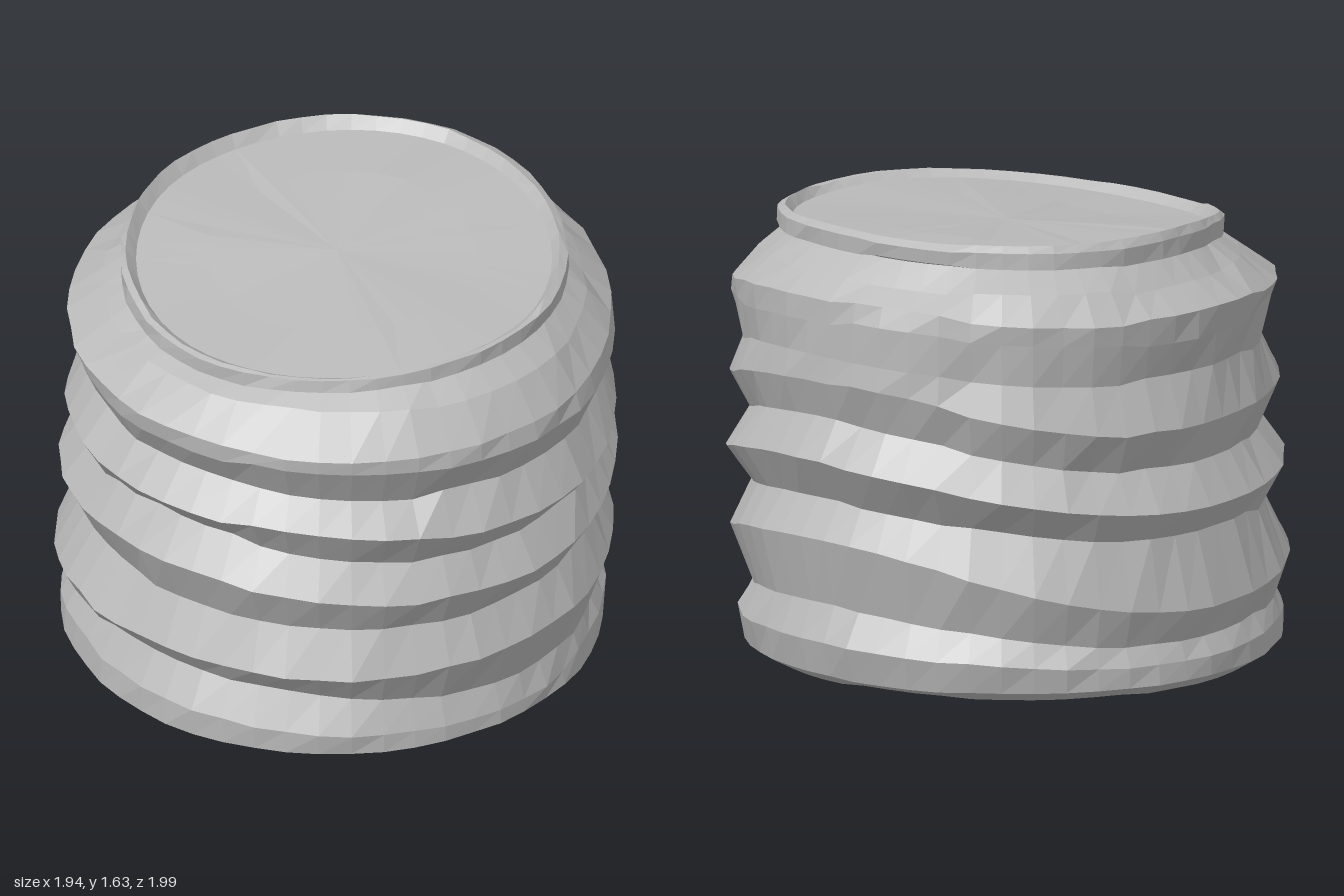
import * as THREE from 'three';

const SEGMENTS = 52;

// Each ring holds [height, radius] toward +x, +z, -x and -z
const bodyRings = [
  [[.02, .74], [.01, .74], [.02, .74], [.02, .76]],
  [[.04, .85], [.03, .85], [.03, .88], [.04, .90]],
  [[.08, .91], [.06, .93], [.07, .96], [.08, .97]],
  [[.20, .95], [.13, .93], [.18, .96], [.13, .96]],
  [[.32, .89], [.20, .90], [.29, .90], [.20, .94]],
  [[.56, .94], [.38, .97], [.40, .97], [.32, .98]],
  [[.69, .87], [.55, .90], [.57, .88], [.57, .90]],
  [[.85, .97], [.66, .97], [.76, .97], [.69, .97]],
  [[.98, .88], [.79, .91], [.88, .88], [.82, .88]],
  [[1.13, .93], [.93, .99], [1.01, .98], [.96, .94]],
  [[1.21, .92], [1.07, .92], [1.13, .88], [1.14, .88]],
  [[1.35, .92], [1.21, .99], [1.25, .96], [1.29, .90]],
  [[1.42, .91], [1.30, .99], [1.32, .96], [1.37, .92]],
  [[1.49, .83], [1.42, .88], [1.41, .83], [1.46, .81]],
  [[1.56, .73], [1.50, .78], [1.46, .73], [1.54, .71]],
];
const rimRings = [
  [[1.56, .73], [1.50, .78], [1.45, .73], [1.54, .70]],
  [[1.57, .77], [1.50, .82], [1.45, .78], [1.54, .74]],
  [[1.63, .77], [1.55, .82], [1.50, .78], [1.60, .74]],
  [[1.64, .74], [1.56, .80], [1.51, .76], [1.62, .72]],
  [[1.60, .71], [1.53, .77], [1.48, .72], [1.58, .69]],
];
const lidRings = [
  rimRings[4],
  [[1.59, .45], [1.54, .5], [1.50, .45], [1.57, .45]],
  [[1.55, 0], [1.55, 0], [1.55, 0], [1.55, 0]],
];
const baseRings = [
  [[.04, 0], [.04, 0], [.04, 0], [.04, 0]],
  [[.04, .45], [.04, .45], [.04, .45], [.04, .45]],
  [[.04, .62], [.03, .62], [.03, .62], [.04, .62]],
  bodyRings[0],
];

// Repeatable dent noise in -1..1
function noise(a, b) {
  const s = Math.sin(a * 127.1 + b * 311.7) * 43758.5453;
  return 2 * (s - Math.floor(s)) - 1;
}

// Blend the four directions of a ring smoothly around the turn
function ringPoint(ring, turn, seed, dent) {
  const q = ((turn % 1) + 1) % 1 * 4;
  const i = Math.floor(q) % 4;
  const t = (1 - Math.cos((q - Math.floor(q)) * Math.PI)) / 2;
  const [a, b] = [ring[i], ring[(i + 1) % 4]];
  const k = Math.round(turn * SEGMENTS);
  // Broad dents span several segments, fine ones a single segment
  const wobble = 0.6 * noise(Math.floor((k % SEGMENTS) / 4), seed) + 0.4 * noise(k % SEGMENTS, seed + 5);
  const lift = noise(Math.floor((k % SEGMENTS) / 6), seed + 9);
  const r = (a[1] + (b[1] - a[1]) * t);
  const y = a[0] + (b[0] - a[0]) * t + (r ? lift * dent : 0);
  const R = r ? r + wobble * dent : 0;
  const angle = turn * Math.PI * 2;
  return [R * Math.cos(angle), Math.max(0, y), R * Math.sin(angle)];
}

// Skin a stack of rings, listed from the bottom or in outward-facing order
function skin(rings, dentOf) {
  const positions = [];
  const index = [];
  const row = SEGMENTS + 1;
  rings.forEach((ring, j) => {
    for (let i = 0; i <= SEGMENTS; i++) {
      positions.push(...ringPoint(ring, (i % SEGMENTS) / SEGMENTS, j + 1, dentOf(j)));
    }
  });
  for (let j = 0; j < rings.length - 1; j++) {
    for (let i = 0; i < SEGMENTS; i++) {
      const a = j * row + i;
      index.push(a, a + row, a + 1, a + 1, a + row, a + row + 1);
    }
  }
  const geometry = new THREE.BufferGeometry();
  geometry.setAttribute('position', new THREE.Float32BufferAttribute(positions, 3));
  geometry.setIndex(index);
  const flat = geometry.toNonIndexed();
  flat.computeVertexNormals();
  return flat;
}

export function createModel() {
  const group = new THREE.Group();
  const grey = new THREE.MeshStandardMaterial({ color: 0xbababa, flatShading: true, side: THREE.DoubleSide });
  grey.name = 'plain grey';

  const add = (name, rings, dentOf) => {
    const mesh = new THREE.Mesh(skin(rings, dentOf), grey);
    mesh.name = name;
    group.add(mesh);
  };

  // Crumpled, pleated wall leaning up toward +x
  add('pleatedBody', bodyRings, (j) => (j === 0 || j === bodyRings.length - 1 ? 0 : j < 3 ? 0.008 : 0.016));
  // Thin bent lip around the top
  add('topRim', rimRings, (j) => (j === 0 || j === 4 ? 0 : 0.008));
  // Slightly sunken, smooth top
  add('lid', lidRings, (j) => (j === 1 ? 0.006 : 0));
  // Shallow recessed underside
  add('base', baseRings, (j) => (j === 2 ? 0.008 : 0));
  return group;
}
